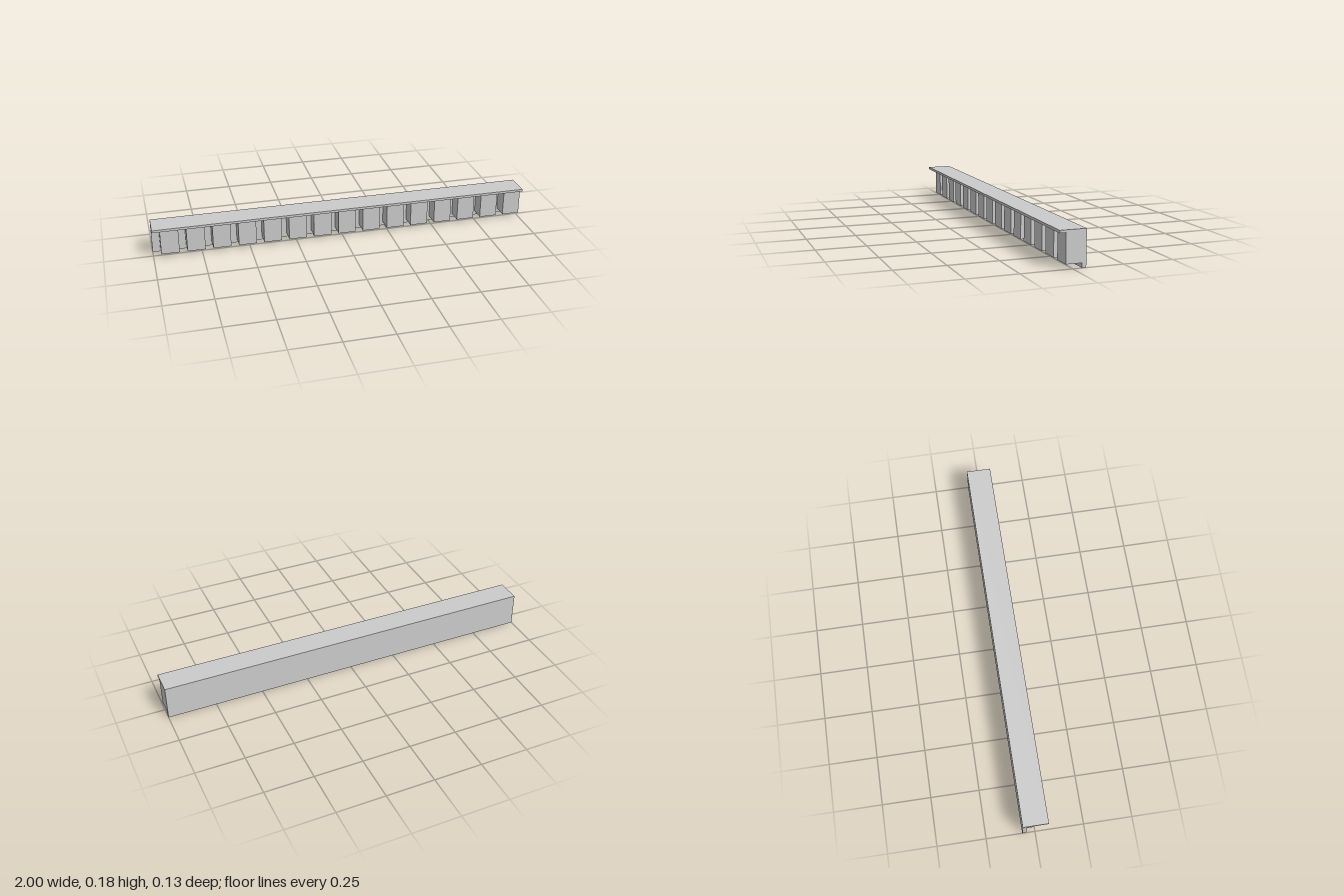
import * as THREE from 'three';

export function createModel() {
  const model = new THREE.Group();
  model.name = 'dentilMoulding';
  const material = new THREE.MeshStandardMaterial({ color: 0xcccccc, flatShading: true });
  const length = 2, count = 15, pitch = length / count, gap = 0.04;

  // Continuous rail: back board, small step and overhanging top ledge, as [z, y]
  const profile = [
    [-0.065, 0], [-0.045, 0], [-0.045, 0.144], [-0.012, 0.144],
    [-0.012, 0.165], [0.065, 0.165], [0.065, 0.178], [-0.065, 0.178],
  ];
  const shape = new THREE.Shape(profile.map(([z, y]) => new THREE.Vector2(-z, y)));
  const railGeometry = new THREE.ExtrudeGeometry(shape, { depth: length, bevelEnabled: false });
  railGeometry.rotateY(Math.PI / 2).translate(-length / 2, 0, 0);
  const rail = new THREE.Mesh(railGeometry, material);
  rail.name = 'rail';
  model.add(rail);

  // Row of dentil blocks, with a gap at the left of each pitch
  const bottom = 0.023, top = 0.165, back = -0.045, front = 0.034;
  const blockGeometry = new THREE.BoxGeometry(pitch - gap, top - bottom, front - back);
  const dentils = new THREE.Group();
  dentils.name = 'dentils';
  for (let i = 0; i < count; i++) {
    const block = new THREE.Mesh(blockGeometry, material);
    block.name = `dentil${i + 1}`;
    block.position.set(-length / 2 + (i + 0.5) * pitch + gap / 2, (top + bottom) / 2, (front + back) / 2);
    dentils.add(block);
  }
  model.add(dentils);
  return model;
}
